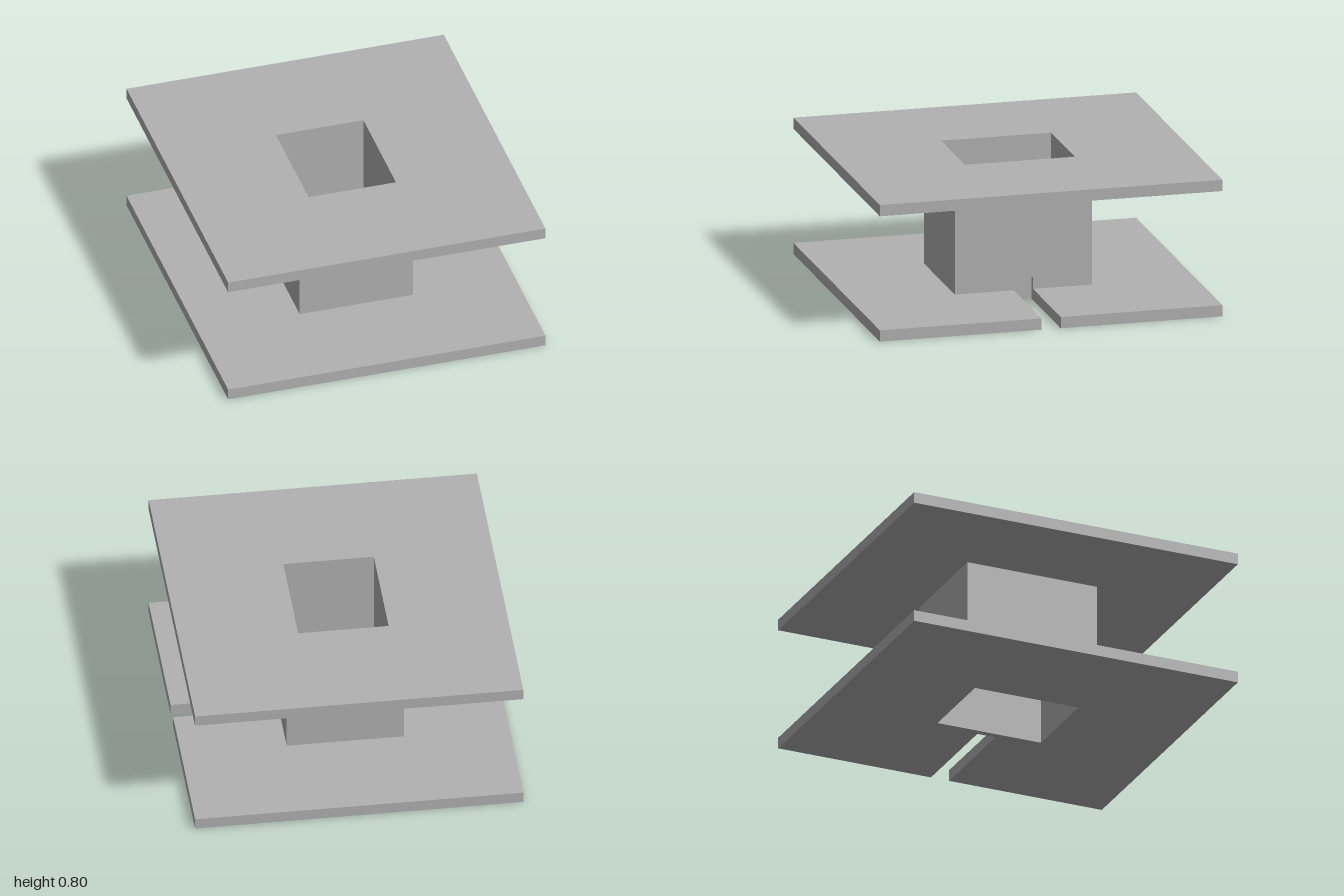
import * as THREE from 'three';

// Half sizes of the square bore and of the wire notch
const BORE_X = 0.257, BORE_Z = 0.32;
const NOTCH_Z = 0.056, NOTCH_END = 0.296;

// Rectangular ring between two heights, optionally notched on its +x side
function ring(name, hx, hz, y0, y1, notched, material) {
  const points = [[-hx, -hz], [hx, -hz]];
  if (notched) {
    points.push([hx, -NOTCH_Z], [NOTCH_END, -NOTCH_Z], [NOTCH_END, NOTCH_Z], [hx, NOTCH_Z]);
  }
  points.push([hx, hz], [-hx, hz]);
  const shape = new THREE.Shape(points.map(([x, y]) => new THREE.Vector2(x, y)));
  const bore = [[-BORE_X, -BORE_Z], [-BORE_X, BORE_Z], [BORE_X, BORE_Z], [BORE_X, -BORE_Z]];
  shape.holes.push(new THREE.Path(bore.map(([x, y]) => new THREE.Vector2(x, y))));

  const geometry = new THREE.ExtrudeGeometry(shape, { depth: y1 - y0, bevelEnabled: false });
  geometry.rotateX(-Math.PI / 2);
  geometry.translate(0, y0, 0);
  const mesh = new THREE.Mesh(geometry, material);
  mesh.name = name;
  return mesh;
}

export function createModel() {
  const grey = new THREE.MeshStandardMaterial({ color: 0xb2b2b2 });
  grey.name = 'grey plastic';

  const model = new THREE.Group();
  model.name = 'bobbin';
  model.add(
    // Slotted lower flange
    ring('lowerFlange', 0.933, 1, 0, 0.066, true, grey),
    // Hollow core: the notch continues a little way up its wall
    ring('notchedCoreBase', 0.333, 0.4, 0.066, 0.136, true, grey),
    ring('core', 0.333, 0.4, 0.136, 0.734, false, grey),
    // Plain upper flange
    ring('upperFlange', 0.933, 1, 0.734, 0.8, false, grey),
  );
  return model;
}
